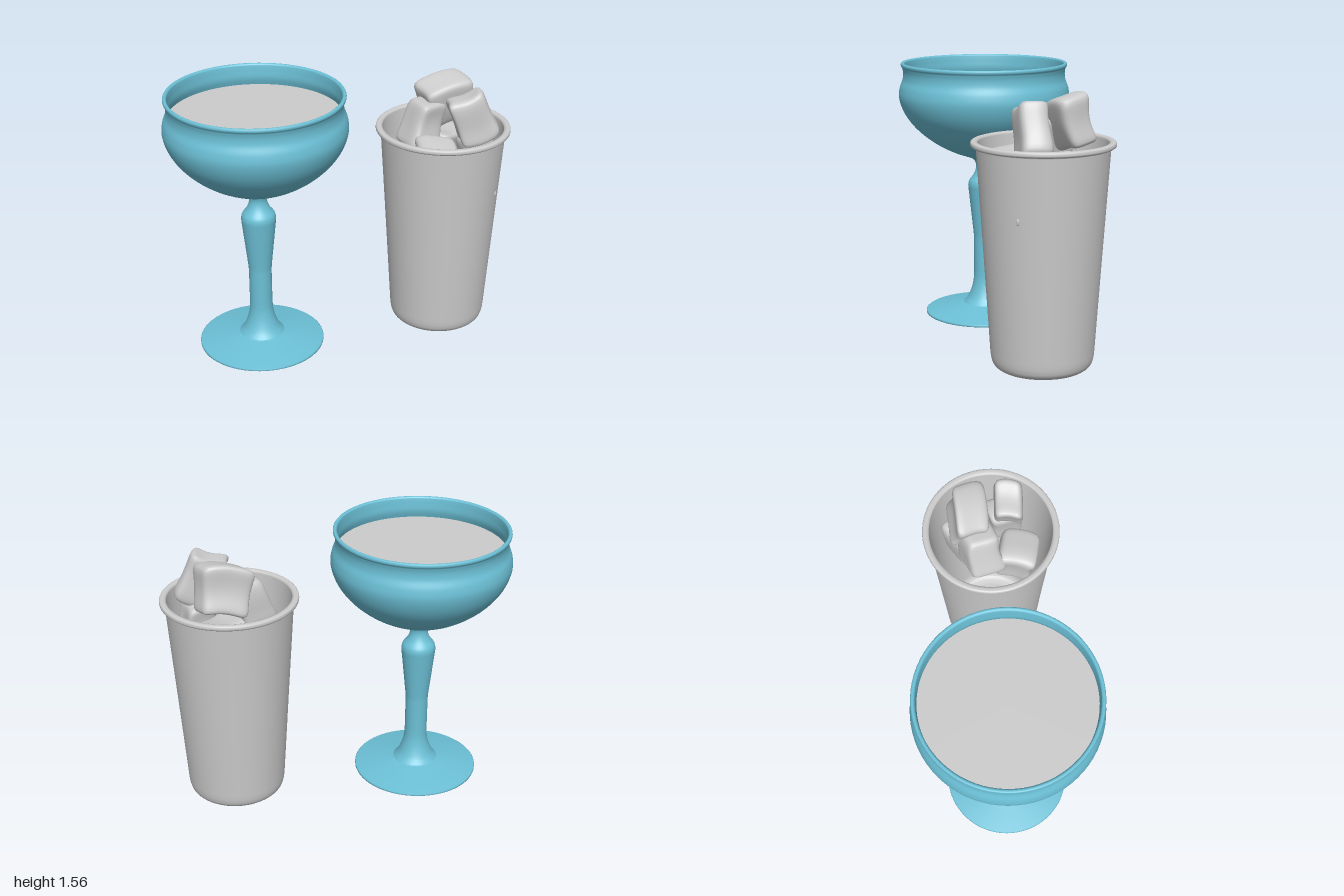
import * as THREE from 'three';
import { mergeVertices } from 'three/addons/utils/BufferGeometryUtils.js';

const blue = new THREE.MeshStandardMaterial({ color: 0x6cc0d6, side: THREE.DoubleSide });
const grey = new THREE.MeshStandardMaterial({ color: 0xcccccc, side: THREE.DoubleSide });

const toV2 = (pts) => pts.map(([r, y]) => new THREE.Vector2(r, y));

// smooth profile section through a few [radius, height] points
const smooth = (pts, n) => new THREE.CatmullRomCurve3(
  pts.map(([r, y]) => new THREE.Vector3(r, y, 0)), false, 'centripetal'
).getPoints(n).map((p) => [Math.max(p.x, 0), p.y]);

function add(parent, name, geometry, material) {
  const mesh = new THREE.Mesh(geometry, material);
  mesh.name = name;
  parent.add(mesh);
  return mesh;
}

const lathe = (pts) => new THREE.LatheGeometry(toV2(pts), 72);

function makeGoblet() {
  const goblet = new THREE.Group();
  goblet.name = 'goblet';

  // foot: hollowed underside, thin edge, shallow cone
  add(goblet, 'foot', lathe([
    ...smooth([[0, 0.05], [0.07, 0.045], [0.115, 0.025], [0.14, 0.002]], 10),
    [0.145, 0], [0.36, 0], [0.365, 0.003], [0.365, 0.012], [0.36, 0.016],
    [0.25, 0.037], [0.14, 0.058], [0.13, 0.062],
  ]), blue);

  // stem: flared base, straight shaft, swelling knop and narrow neck
  add(goblet, 'stem', lathe([
    ...smooth([[0.13, 0.062], [0.105, 0.095], [0.082, 0.15], [0.069, 0.21], [0.066, 0.27]], 16),
    [0.066, 0.47], [0.068, 0.5], [0.084, 0.65], [0.099, 0.79],
    ...smooth([[0.1, 0.805], [0.094, 0.832], [0.068, 0.868], [0.054, 0.9], [0.051, 0.93], [0.062, 0.96], [0.09, 0.978]], 20),
  ]), blue);

  // bowl: outside wall, rolled lip, inside wall
  add(goblet, 'bowl', lathe([
    ...smooth([[0.09, 0.978], [0.2, 1.018], [0.32, 1.085], [0.42, 1.17], [0.485, 1.26], [0.514, 1.35],
      [0.508, 1.41], [0.49, 1.46], [0.487, 1.5], [0.493, 1.53]], 48),
    ...smooth([[0.498, 1.535], [0.501, 1.545], [0.497, 1.556], [0.484, 1.556], [0.477, 1.547]], 10),
    ...smooth([[0.475, 1.52], [0.473, 1.47], [0.489, 1.41], [0.495, 1.35], [0.465, 1.26], [0.4, 1.175],
      [0.3, 1.1], [0.18, 1.038], [0, 1.0]], 40),
  ]), blue);

  // drink surface
  const drink = add(goblet, 'drink', new THREE.CircleGeometry(0.486, 72), grey);
  drink.rotation.x = -Math.PI / 2;
  drink.position.y = 1.43;
  return goblet;
}

// lumpy melted ice cube: rounded box with dished, tapered and twisted sides
function iceGeometry(w, h, d, seed) {
  let g = new THREE.BoxGeometry(2, 2, 2, 12, 12, 12);
  g.deleteAttribute('uv');
  g.deleteAttribute('normal');
  g = mergeVertices(g);
  const p = g.attributes.position;
  const v = new THREE.Vector3();
  for (let i = 0; i < p.count; i++) {
    v.fromBufferAttribute(p, i);
    const n = 7;
    v.divideScalar((Math.abs(v.x) ** n + Math.abs(v.y) ** n + Math.abs(v.z) ** n) ** (1 / n));
    const { x, y, z } = v;
    const taper = 0.94 + 0.1 * y * Math.cos(seed);
    const dish = 0.9 + 0.1 * y * y;
    v.set(
      x * taper * dish + 0.09 * Math.sin(2 * z + seed),
      y + 0.1 * Math.sin(2.2 * x + seed * 2),
      z * taper * dish + 0.09 * Math.sin(2.4 * y + seed * 3)
    );
    p.setXYZ(i, v.x * w / 2, v.y * h / 2, v.z * d / 2);
  }
  g.computeVertexNormals();
  return g;
}

function makeTumbler() {
  const tumbler = new THREE.Group();
  tumbler.name = 'tumbler';

  // tapered cup with rounded base, rolled rim and hollow inside
  add(tumbler, 'cup', lathe([
    [0, 0], [0.195, 0], [0.2, 0],
    ...smooth([[0.21, 0.001], [0.245, 0.01], [0.27, 0.033], [0.281, 0.07]], 10),
    [0.284, 0.1], [0.32, 0.65], [0.358, 1.215], [0.36, 1.222],
    ...smooth([[0.378, 1.223], [0.386, 1.23], [0.387, 1.24], [0.384, 1.25], [0.374, 1.254]], 10),
    [0.362, 1.254], [0.351, 1.25], [0.348, 1.24], [0.31, 0.65], [0.274, 0.1],
    ...smooth([[0.27, 0.065], [0.25, 0.03], [0.205, 0.018]], 8),
    [0.195, 0.018], [0, 0.018],
  ]), grey);

  // small bead on the wall
  const bead = add(tumbler, 'bead', new THREE.SphereGeometry(0.01, 12, 8), grey);
  bead.scale.set(0.8, 2, 0.8);
  bead.position.set(0.25, 0.88, 0.222);

  // ice: size, position, rotation, shape seed
  const ice = [
    [[0.31, 0.27, 0.2], [0.05, 1.35, -0.13], [0.25, 0.1, 0.15], 0.6],
    [[0.25, 0.29, 0.18], [0.13, 1.325, 0.11], [-0.08, -0.08, 0.4], 2.1],
    [[0.22, 0.27, 0.22], [-0.1, 1.25, -0.07], [0.1, 0.4, -0.35], 3.4],
    [[0.25, 0.25, 0.24], [-0.09, 1.08, 0.14], [0.2, -0.25, 0.1], 1.3],
    [[0.2, 0.26, 0.2], [0.18, 1.07, 0.08], [-0.2, 0.3, 0.2], 4.2],
    [[0.26, 0.24, 0.22], [0.05, 1.06, -0.14], [0.1, 0.6, -0.1], 5.5],
  ];
  ice.forEach(([size, pos, rot, seed], i) => {
    const cube = add(tumbler, `iceCube${i + 1}`, iceGeometry(...size, seed), grey);
    cube.position.set(...pos);
    cube.rotation.set(...rot);
  });
  return tumbler;
}

export function createModel() {
  const model = new THREE.Group();
  model.name = 'drinkSet';
  const goblet = makeGoblet();
  goblet.position.x = -0.485;
  const tumbler = makeTumbler();
  tumbler.position.x = 0.613;
  model.add(goblet, tumbler);
  return model;
}
